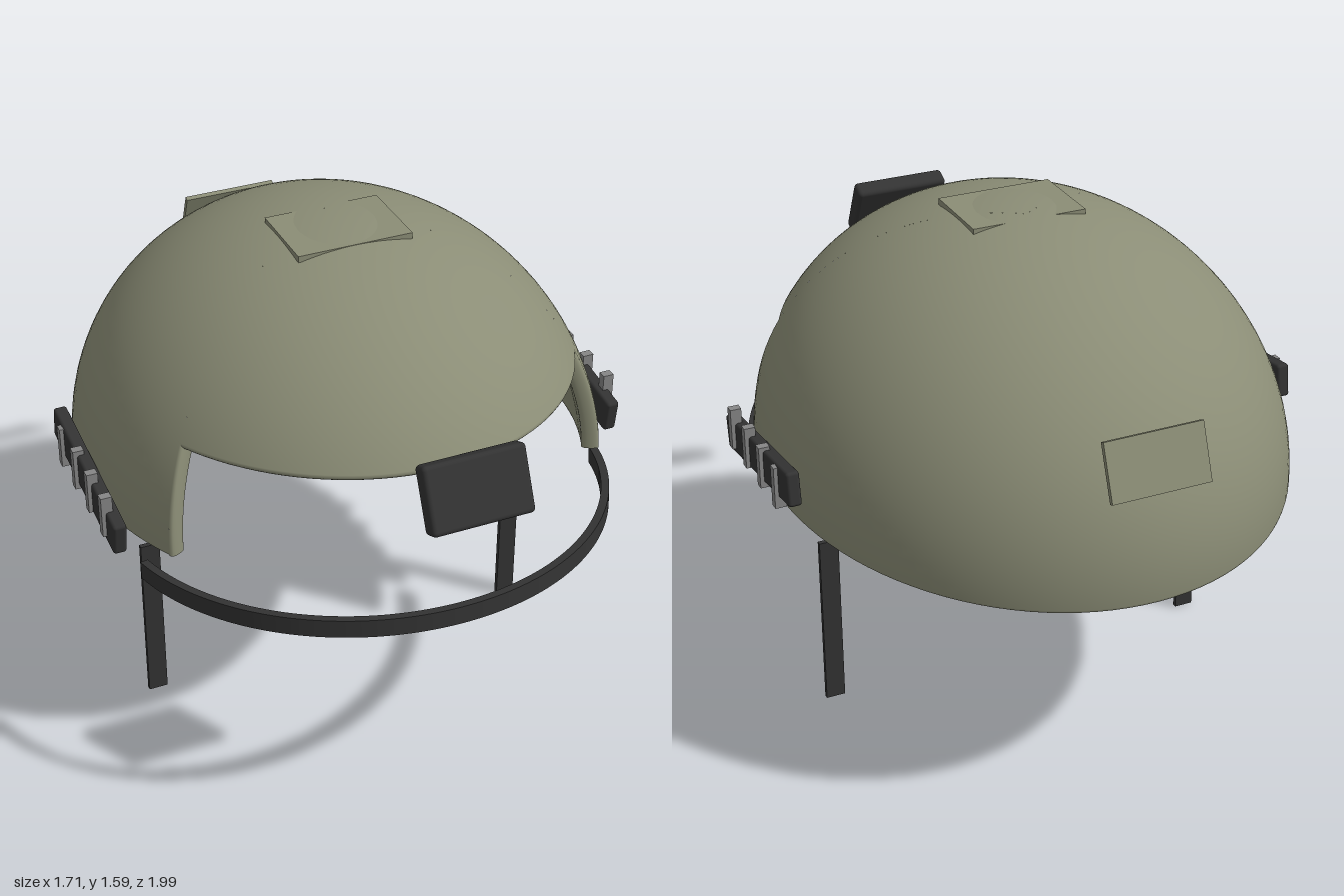
import * as THREE from 'three';
import { ParametricGeometry } from 'three/addons/geometries/ParametricGeometry.js';
import { RoundedBoxGeometry } from 'three/addons/geometries/RoundedBoxGeometry.js';

const rad = THREE.MathUtils.degToRad;

export function createModel() {
  const mat = (name, color) => {
    const m = new THREE.MeshStandardMaterial({ color });
    m.name = name;
    return m;
  };
  const olive = mat('olive', 0x8b8d76);
  const black = mat('black', 0x333333);
  const grey = mat('grey', 0x868686);

  const model = new THREE.Group();
  model.name = 'helmet';
  const add = (parent, name, geo, material, pos = [0, 0, 0], rotX = 0) => {
    const m = new THREE.Mesh(geo, material);
    m.name = name;
    m.position.set(...pos);
    m.rotation.x = rotX;
    parent.add(m);
    return m;
  };

  // Shell: half ellipsoid with thickness, cut higher across the front sector
  const shell = new THREE.Group();
  shell.name = 'shell';
  shell.position.set(0, 0.815, -0.053);
  shell.rotation.x = rad(-4.1);
  model.add(shell);

  const R = [0.81, 0.778, 0.945];
  const T = 0.055;               // wall thickness
  const D = 0.018;               // edge rounding
  const A = rad(60.3);           // half angle of the face opening
  const FRONT = rad(65), REAR = rad(90);
  const mix = THREE.MathUtils.lerp;

  // a = angle from the front, th = angle from the top, t = depth into the wall
  const point = (a, th, t, out) => out.set(
    (R[0] - t) * Math.sin(th) * Math.sin(a),
    (R[1] - t) * Math.cos(th),
    (R[2] - t) * Math.sin(th) * Math.cos(a));
  const depth = s => T * (1 - Math.cos(Math.PI * s)) / 2;
  const bulge = s => D * Math.pow(Math.max(0, Math.sin(Math.PI * s)), 0.6);
  const surface = (name, fn, nu, nv) => add(shell, name, new ParametricGeometry(fn, nu, nv), olive);

  const sectors = [
    ['front', -A - D, A + D, FRONT, 40],
    ['rear', A + D, 2 * Math.PI - A - D, REAR, 72],
  ];
  for (const [name, a0, a1, limit, n] of sectors) {
    const end = limit - D;
    surface(name + 'OuterShell', (u, v, p) => point(mix(a0, a1, v), mix(0.001, end, u), 0, p), 32, n);
    surface(name + 'InnerShell', (u, v, p) => point(mix(a0, a1, u), mix(0.001, end, v), T, p), n, 32);
    surface(name + 'Rim', (u, v, p) => point(mix(a0, a1, v), end + bulge(u), depth(u), p), 10, n);
  }

  // Upright edges of the face opening
  const edge = (side, s, w, p) =>
    point(side * (A + D - bulge(s)), mix(FRONT - D, REAR - D / 3, w), depth(s), p);
  surface('leftOpeningEdge', (u, v, p) => edge(1, u, v, p), 10, 14);
  surface('rightOpeningEdge', (u, v, p) => edge(-1, v, u, p), 14, 10);

  // Plates and front mount
  add(model, 'topPlate', new THREE.BoxGeometry(0.365, 0.02, 0.26), olive, [0, 1.575, -0.005]);
  add(model, 'rearPlate', new THREE.BoxGeometry(0.31, 0.175, 0.016), olive, [0, 1.183, -0.953], rad(21));
  add(model, 'frontMount', new RoundedBoxGeometry(0.315, 0.2, 0.06, 3, 0.014), black, [0, 1.237, 0.933], rad(-25));

  // Side rails with ribs, and hanging straps
  for (const [label, side] of [['left', 1], ['right', -1]]) {
    add(model, label + 'Rail', new RoundedBoxGeometry(0.042, 0.108, 0.575, 3, 0.01), black,
      [side * 0.821, 0.902, 0], rad(8));
    for (let i = 0; i < 4; i++) {
      add(model, label + 'RailRib', new THREE.BoxGeometry(0.035, 0.135, 0.028), grey,
        [side * 0.837, 0.91, 0.208 - i * 0.132]);
    }
    add(model, label + 'Strap', new THREE.BoxGeometry(0.062, 0.58, 0.016), black, [side * 0.637, 0.29, -0.028]);
  }

  // Curved band around the front
  const half = rad(79);
  const arc = new THREE.Shape();
  arc.absarc(0, 0, 0.782, Math.PI / 2 - half, Math.PI / 2 + half, false);
  arc.absarc(0, 0, 0.757, Math.PI / 2 + half, Math.PI / 2 - half, true);
  arc.closePath();
  const band = new THREE.ExtrudeGeometry(arc, { depth: 0.056, bevelEnabled: false, curveSegments: 48 });
  band.rotateX(Math.PI / 2).translate(0, 0.028, 0);
  add(model, 'frontBand', band, black, [0, 0.731, 0.146], rad(-4.9));

  return model;
}
